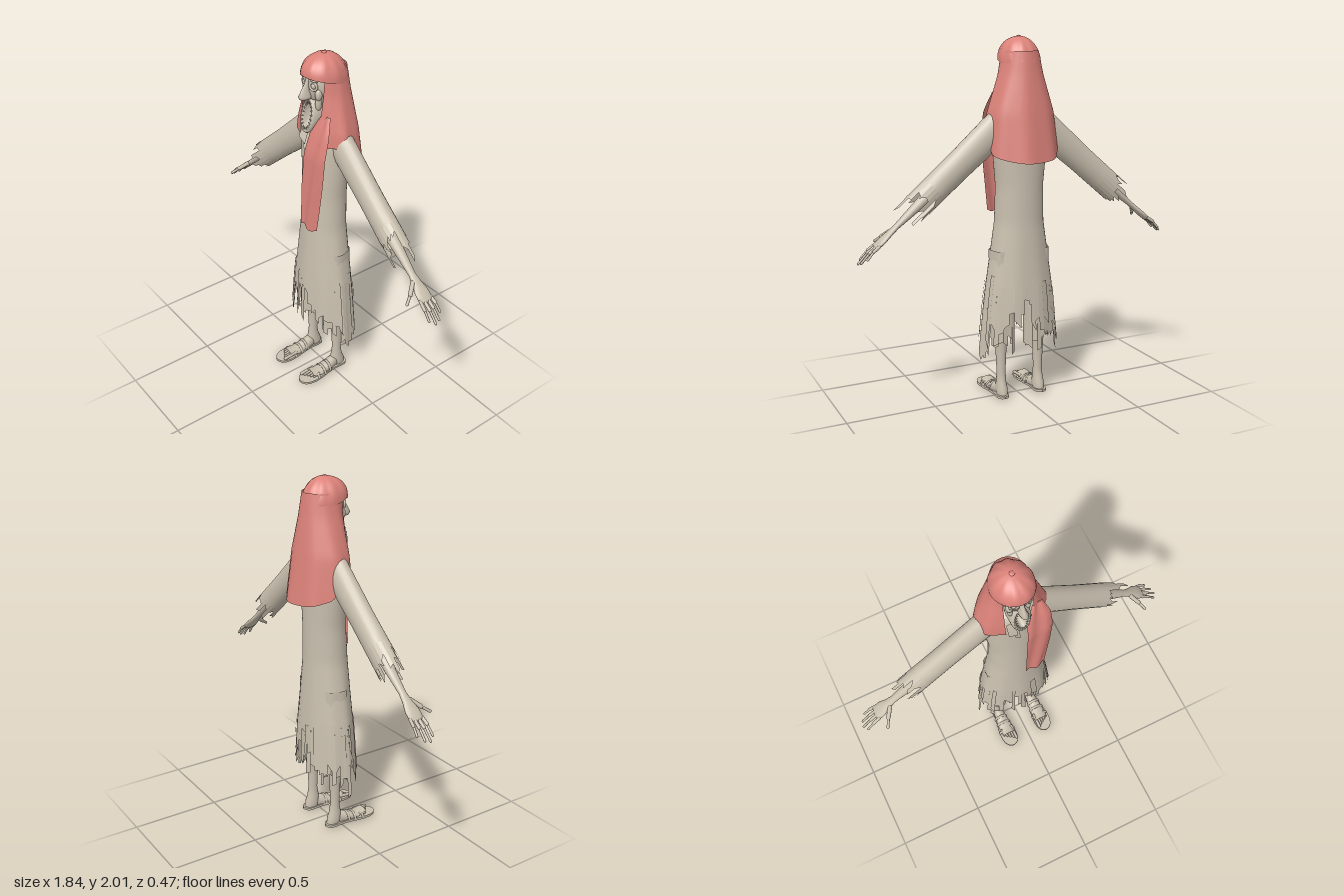
import * as THREE from 'three';
import { mergeGeometries } from 'three/addons/utils/BufferGeometryUtils.js';

const { lerp } = THREE.MathUtils;
const TAU = Math.PI * 2;

// Surface from a rule P(u, v); wrap joins the first and last column
function grid(P, n, m, wrap = false) {
  const pos = [], uv = [], idx = [], cols = wrap ? n : n + 1;
  for (let j = 0; j <= m; j++) for (let i = 0; i < cols; i++) {
    pos.push(...P(i / n, j / m));
    uv.push(i / n, j / m);
  }
  for (let j = 0; j < m; j++) for (let i = 0; i < n; i++) {
    const a = j * cols + i, b = j * cols + (i + 1) % cols;
    idx.push(a, b, a + cols, b, b + cols, a + cols);
  }
  const g = new THREE.BufferGeometry();
  g.setAttribute('position', new THREE.Float32BufferAttribute(pos, 3));
  g.setAttribute('uv', new THREE.Float32BufferAttribute(uv, 2));
  g.setIndex(idx);
  g.computeVertexNormals();
  return g;
}

// Values of a table at t; first column descends
function sample(rows, t) {
  let i = 0;
  while (i < rows.length - 2 && t < rows[i + 1][0]) i++;
  const k = (rows[i][0] - t) / (rows[i][0] - rows[i + 1][0]);
  return rows[i].map((a, c) => lerp(a, rows[i + 1][c], k));
}

// Stacked ellipses: rows of [y, cx, cz, rx, rz]
const loft = (rows, n = 20) => grid((u, v) => {
  const [y, cx, cz, rx, rz] = rows[Math.round(v * (rows.length - 1))];
  return [cx + rx * Math.cos(u * TAU), y, cz + rz * Math.sin(u * TAU)];
}, n, rows.length - 1, true);

// Cloth tube S(u, y) with a torn lower edge of separate strips
function tornCloth(S, n, top, tear, m, hem) {
  const parts = [grid((u, v) => S(u, lerp(top, tear, v)), n, m, true)];
  for (let i = 0; i < n; i++) {
    const a = hem(i / n), b = a + hem.slant();
    parts.push(grid((u, v) => S((i + u) / n, lerp(tear, lerp(a, b, u), v)), 1, 3));
  }
  return mergeGeometries(parts);
}

// Tapered rod with rounded ends between two points
function rod(a, b, r) {
  const A = new THREE.Vector3(...a), B = new THREE.Vector3(...b), d = B.clone().sub(A);
  const g = new THREE.CapsuleGeometry(r, d.length(), 3, 8);
  g.applyQuaternion(new THREE.Quaternion().setFromUnitVectors(new THREE.Vector3(0, 1, 0), d.normalize()));
  return g.translate(...A.add(B).multiplyScalar(0.5).toArray());
}

const ball = (x, y, z, rx, ry, rz) => new THREE.SphereGeometry(1, 14, 10).scale(rx, ry, rz).translate(x, y, z);

function flipX(g) {
  g.scale(-1, 1, 1);
  const id = g.index.array;
  for (let i = 0; i < id.length; i += 3) [id[i], id[i + 1]] = [id[i + 1], id[i]];
  return g;
}

export function createModel() {
  const model = new THREE.Group();
  model.name = 'robedFigure';
  const bone = new THREE.MeshStandardMaterial({ color: 0xc9bfae, side: THREE.DoubleSide });
  const red = new THREE.MeshStandardMaterial({ color: 0xdb8279, side: THREE.DoubleSide });
  bone.name = 'paleCloth';
  red.name = 'redCloth';
  let seed = 7;
  const rand = () => (seed = (seed * 16807) % 2147483647) / 2147483647;
  const add = (name, g, mat = bone) => {
    const mesh = new THREE.Mesh(g, mat);
    mesh.name = name;
    model.add(mesh);
  };
  const pair = (name, make) => {
    add('left' + name, make());
    add('right' + name, flipX(make()));
  };
  const hemOf = (f, slant) => Object.assign(f, { slant: () => (rand() - 0.5) * slant });

  // Robe: [y, rx, cz, rz]
  const robe = [[1.63, .05, -.03, .05], [1.6, .13, -.03, .075], [1.54, .165, -.03, .09], [1.4, .155, -.035, .105],
    [1.2, .135, -.03, .11], [1, .14, -.025, .115], [.8, .17, -.025, .125], [.6, .2, -.025, .137], [.25, .235, -.025, .15]];
  const robeAt = (u, y, grow = 1) => {
    const [, rx, cz, rz] = sample(robe, y), a = u * TAU;
    const k = grow * (1 + .03 * Math.sin(a * 9) * Math.max(0, 1.1 - y));
    return [rx * k * Math.cos(a), y, cz + rz * k * Math.sin(a)];
  };
  add('robe', tornCloth(robeAt, 44, 1.63, .66, 26, hemOf(u => {
    const side = Math.abs(Math.cos(u * TAU));
    return lerp(.5, .33, side) + (rand() - .5) * .2;
  }, .09)));
  // Loose torn rags over the skirt
  const rags = [];
  for (let i = 0; i < 14; i++) {
    const u0 = (i + rand() * .5) / 14, w = .015 + rand() * .02, y0 = .6 + rand() * .13, y1 = .3 + rand() * .18;
    rags.push(grid((u, v) => robeAt(u0 + u * w, lerp(y0, y1 + u * .05, v), 1.035), 2, 5));
  }
  add('skirtRags', mergeGeometries(rags));

  // Ragged underskirt round each leg
  pair('LegWrap', () => tornCloth((u, y) => {
    const a = u * TAU, k = 1 + .06 * Math.sin(a * 5);
    return [.105 + .066 * k * Math.cos(a), y, -.03 + .08 * k * Math.sin(a)];
  }, 16, .85, .42, 4, hemOf(() => .25 + rand() * .1, .05)));

  // Legs and feet
  pair('Leg', () => loft([[.8, .11, -.03, .05, .05], [.4, .115, -.035, .04, .04], [.28, .115, -.035, .031, .032],
    [.14, .115, -.035, .025, .026], [.08, .115, -.035, .028, .036], [.045, .115, -.04, .033, .045], [.015, .115, -.045, .03, .042]]));
  pair('Foot', () => {
    const parts = [loft([[.16, 0, -.06, .035, .014], [.1, 0, -.045, .042, .018], [.04, 0, -.05, .036, .034],
      [-.02, 0, -.065, .028, .045], [-.05, 0, -.05, 0, 0]], 16).rotateX(Math.PI / 2).translate(.115, -.025, 0)];
    for (let i = 0; i < 5; i++) {
      const x = .082 + i * .0165, tip = .2 - i * .011;
      parts.push(rod([x, .03, .12], [x, .024, tip], i ? .007 : .0095));
    }
    return mergeGeometries(parts);
  });
  pair('SandalSole', () => {
    const s = new THREE.Shape();
    s.moveTo(0, -.1);
    s.splineThru([[.033, -.075], [.034, .02], [.052, .14], [.04, .21], [0, .235], [-.04, .21], [-.05, .14], [-.034, .02],
      [-.033, -.075], [0, -.1]].map(p => new THREE.Vector2(...p)));
    const g = new THREE.ExtrudeGeometry(s, { depth: .014, bevelEnabled: false, curveSegments: 40 });
    g.setIndex([...Array(g.attributes.position.count).keys()]);
    return g.rotateX(Math.PI / 2).translate(.117, .014, 0);
  });
  pair('SandalStraps', () => mergeGeometries([[.13, .05, .038], [.08, .044, .05], [.04, .04, .06]].map(([z, w, h]) =>
    new THREE.TorusGeometry(1, .09, 6, 18, Math.PI).scale(w, h - .012, .09).translate(.117, .012, z))));

  // Arms are built hanging down, then swung outward
  const swing = g => g.rotateZ(.871).translate(.14, 1.515, -.04);
  pair('Sleeve', () => swing(tornCloth((u, y) => {
    const a = u * TAU, [, rx, rz] = sample([[.05, .09, .06], [-.3, .077, .06], [-.7, .075, .066]], y);
    return [rx * Math.cos(a), y, rz * Math.sin(a)];
  }, 20, .04, -.47, 8, hemOf(() => -.51 - rand() * .16, .07))));
  pair('Forearm', () => swing(loft([[-.1, 0, 0, .045, .045], [-.5, 0, 0, .033, .036], [-.66, 0, 0, .021, .025],
    [-.74, 0, 0, .015, .02], [-.79, 0, 0, .015, .028], [-.84, 0, 0, .016, .042], [-.89, 0, 0, .013, .043], [-.905, 0, 0, 0, 0]], 16)));
  pair('Fingers', () => {
    const parts = [rod([0, -.78, .02], [-.006, -.83, .065], .012), rod([-.006, -.83, .065], [-.012, -.865, .105], .008)];
    for (let i = 0; i < 4; i++) {
      const z = .034 - i * .023, len = [.1, .125, .115, .08][i];
      parts.push(rod([0, -.88, z], [.004, -.88 - len * .5, z * 1.15], .009));
      parts.push(rod([.004, -.88 - len * .5, z * 1.15], [-.004, -.89 - len, z * 1.25], .0065));
    }
    return swing(mergeGeometries(parts));
  });

  // Head, neck and hollow open mouth
  add('head', loft([[1.96, 0, -.02, 0, 0], [1.94, 0, -.02, .055, .06], [1.88, 0, -.02, .085, .1], [1.82, 0, -.02, .08, .1],
    [1.77, 0, -.02, .07, .09], [1.75, 0, -.03, .065, .065], [1.7, 0, -.03, .055, .05], [1.62, 0, -.03, .05, .05], [1.5, 0, -.03, .06, .05]], 28));
  const jaw = loft([[.03, 0, -1.68, 0, 0], [.03, 0, -1.68, .026, .062], [.07, 0, -1.68, .03, .07], [.085, 0, -1.678, .036, .077],
    [.083, 0, -1.677, .046, .088], [.07, 0, -1.677, .055, .097], [.02, 0, -1.69, .06, .09], [-.03, 0, -1.7, .05, .06]], 32).rotateX(Math.PI / 2);
  const jp = jaw.attributes.position;
  for (let i = 0; i < jp.count; i++) jp.setZ(i, jp.getZ(i) + (1.69 - jp.getY(i)) * .2);
  jaw.computeVertexNormals();
  add('jaw', jaw);
  const teeth = [];
  for (let i = 0; i < 20; i++) {
    const a = (i + .5) / 20 * TAU, y = 1.678 + .07 * Math.sin(a);
    teeth.push(new THREE.ConeGeometry(.006, .022, 5).rotateZ(a + Math.PI / 2)
      .translate(.031 * Math.cos(a), y, .083 + (1.69 - y) * .2));
  }
  add('teeth', mergeGeometries(teeth));
  add('nose', loft([[1.89, 0, .07, .009, .012], [1.85, 0, .078, .011, .02], [1.82, 0, .085, .014, .034], [1.79, 0, .09, .022, .045],
    [1.775, 0, .09, .021, .035], [1.768, 0, .085, 0, 0]], 14));
  pair('Eye', () => mergeGeometries([ball(.037, 1.848, .068, .014, .015, .012),
    new THREE.TorusGeometry(.021, .007, 8, 18).rotateY(.3).translate(.037, 1.848, .07),
    ball(.04, 1.882, .07, .03, .009, .013)]));
  pair('Cheek', () => mergeGeometries([ball(.052, 1.8, .048, .017, .032, .02), ball(.048, 1.75, .045, .013, .04, .02)]));

  // Red hood gathered at the crown, lower at the back
  add('hood', grid((u, v) => {
    const a = u * TAU, e = v * Math.PI / 2, r = Math.sin(e) * (1 + .03 * Math.cos(a * 10) * Math.sin(e * 2));
    const h = lerp(.17, .1, (1 + Math.sin(a)) / 2);
    return [.112 * r * Math.cos(a), 1.995 - h * (1 - Math.cos(e)), -.03 + .13 * r * Math.sin(a)];
  }, 48, 12, true), red);
  add('crownKnot', ball(0, 1.992, -.025, .014, .008, .014), red);

  // Veil round the back and sides: [y, rx, back depth, front depth, inner edge]
  const veil = [[1.92, .095, .11, .115, .08], [1.8, .122, .125, .1, .078], [1.6, .184, .155, .115, .08], [1.34, .215, .19, .13, .07]];
  add('veil', grid((u, v) => {
    const f = u * 2 - 1, k = Math.abs(f);
    const hem = 1.34 + .05 * Math.min(k / .45, 1) ** 2 + .14 * THREE.MathUtils.smoothstep(k, .42, .62);
    const y = lerp(1.92, hem, v), [, rx, back, front, inner] = sample(veil, y);
    const phi = f * (Math.PI - Math.asin(inner / rx)), c = Math.cos(phi), fold = 1 + .025 * v * Math.sin(f * 22);
    return [rx * fold * Math.sin(phi), y, -.04 - (c > 0 ? back : front) * fold * c];
  }, 72, 18), red);

  // Long tail of the veil hanging down the left front: [y, inner x, outer x, z]
  const tail = [[1.7, .075, .13, .045], [1.6, .03, .165, .085], [1.48, .018, .168, .115], [1.3, .01, .155, .125], [1.04, .005, .125, .135]];
  add('veilTail', grid((u, v) => {
    const [y, x0, x1, z] = sample(tail, lerp(1.7, 1.04, v));
    return [lerp(x0, x1, u), y + .01 * v * Math.sin(u * 7), z - .03 * (u - .3) ** 2 + .006 * Math.sin(u * 9 + v * 3)];
  }, 10, 18), red);

  // Torn collar pieces on the right side of the chest
  add('collarRags', mergeGeometries([[-.07, 1.6, .05, .1], [-.035, 1.57, .03, .12]].map(([x, y, w, h]) =>
    grid((u, v) => [x + u * w, y - v * h * (.7 + .3 * u), .05 + .035 * v], 2, 3))));
  return model;
}
